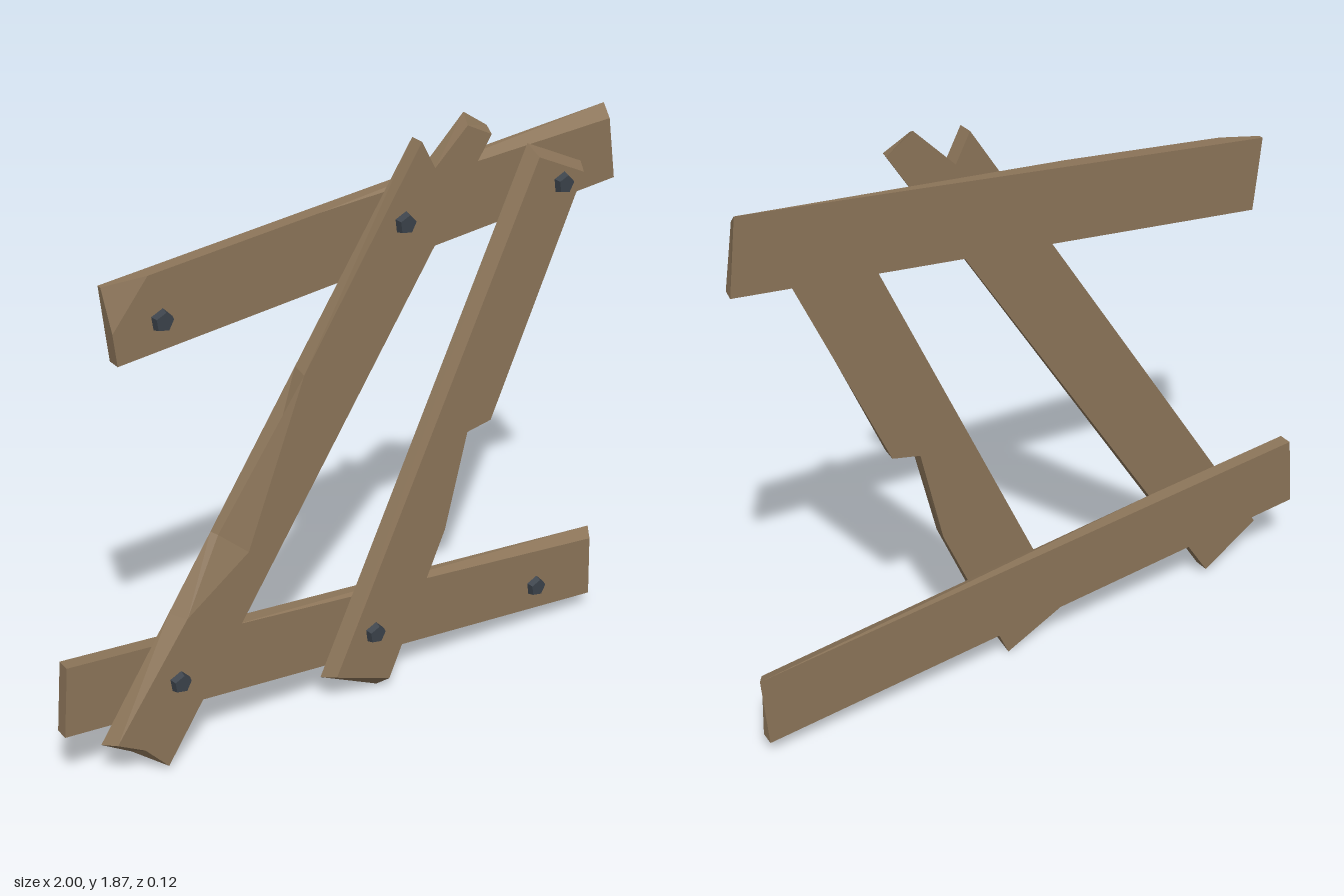
import * as THREE from 'three';

const wood = new THREE.MeshStandardMaterial({ color: 0x8c7559 });
wood.name = 'weathered wood';
const iron = new THREE.MeshStandardMaterial({ color: 0x3b424a });
iron.name = 'dark iron';

// Plank from matching back and front outlines (counterclockwise from the front).
// A front point with a third value is a chipped corner lying at that depth.
function plank(name, back, front, z0, z1) {
  const pos = [];
  const n = front.length;
  const B = back.map(([x, y]) => [x, y, z0]);
  const F = front.map(([x, y, z = z1]) => [x, y, z]);
  const tri = (a, b, c) => pos.push(...a, ...b, ...c);
  const cap = (pts, flip) => {
    const flat = pts.map(([x, y]) => new THREE.Vector2(x, y));
    for (const [a, b, c] of THREE.ShapeUtils.triangulateShape(flat, [])) {
      if (flip) tri(pts[a], pts[c], pts[b]);
      else tri(pts[a], pts[b], pts[c]);
    }
  };
  cap(F.filter((p) => p[2] === z1), false);
  // drop repeated points before closing the back
  cap(B.filter((p, i) => {
    const q = B[(i + 1) % n];
    return p[0] !== q[0] || p[1] !== q[1];
  }), true);
  for (let i = 0; i < n; i++) {
    const j = (i + 1) % n;
    tri(B[i], B[j], F[j]);
    tri(B[i], F[j], F[i]);
    if (F[i][2] !== z1) tri(F[(i + n - 1) % n], F[i], F[j]);
  }
  const geo = new THREE.BufferGeometry();
  geo.setAttribute('position', new THREE.Float32BufferAttribute(pos, 3));
  geo.computeVertexNormals();
  const mesh = new THREE.Mesh(geo, wood);
  mesh.name = name;
  return mesh;
}

export function createModel() {
  const group = new THREE.Group();
  group.name = 'brokenFence';
  const zBack = -0.058, zMid = -0.012, zFront = 0.038;

  // Crossing rails behind
  group.add(plank('topRail',
    [[-0.765, 1.35], [0.995, 1.553], [0.967, 1.786], [-0.1, 1.663], [-0.66, 1.598], [-0.79, 1.583], [-0.776, 1.45]],
    [[-0.765, 1.35], [0.985, 1.553], [0.955, 1.75], [-0.1, 1.663], [-0.66, 1.598], [-0.79, 1.583, -0.042], [-0.776, 1.45]],
    zBack, zMid));
  group.add(plank('bottomRail',
    [[-1, 0.211], [0.977, 0.056], [0.996, 0.291], [-0.45, 0.403], [-0.98, 0.444]],
    [[-1, 0.211], [0.975, 0.058], [0.968, 0.272], [-0.45, 0.403], [-0.98, 0.444]],
    zBack, zMid));

  // Leaning boards in front: one split at the tip, one with a broken edge
  group.add(plank('longBoard',
    [[-0.885, 0.142], [-0.786, 0.081], [-0.687, 0.019], [0.484, 1.816], [0.398, 1.872], [0.265, 1.74],
      [0.217, 1.829], [-0.19, 1.206], [-0.49, 0.747], [-0.49, 0.747], [-0.64, 0.517]],
    [[-0.855, 0.155], [-0.765, 0.105], [-0.687, 0.019], [0.466, 1.805], [0.378, 1.848], [0.265, 1.74],
      [0.217, 1.829], [-0.19, 1.195], [-0.39, 0.67], [-0.475, 0.74, 0.007], [-0.605, 0.51]],
    zMid, zFront));
  // facet that closes the chip against the board's long edge
  const chip = new THREE.BufferGeometry();
  chip.setAttribute('position', new THREE.Float32BufferAttribute(
    [-0.19, 1.195, zFront, -0.475, 0.74, 0.007, -0.39, 0.67, zFront], 3));
  chip.computeVertexNormals();
  const chipMesh = new THREE.Mesh(chip, wood);
  chipMesh.name = 'longBoardChip';
  group.add(chipMesh);

  group.add(plank('shortBoard',
    [[-0.11, 0.104], [0.104, 0.003], [0.334, 0.527], [0.406, 0.842], [0.5, 0.864], [0.848, 1.634], [0.639, 1.73]],
    [[-0.08, 0.118], [0.12, 0.045], [0.328, 0.527], [0.406, 0.848], [0.495, 0.866], [0.822, 1.618], [0.648, 1.698]],
    zMid, zFront));

  // Five-sided nail heads: [x, y, surface depth]
  const head = new THREE.CylinderGeometry(0.029, 0.037, 0.026, 5)
    .rotateX(Math.PI / 2).rotateZ(0.45).toNonIndexed();
  head.computeVertexNormals();
  const nails = [
    [-0.623, 1.457, zMid], [0.158, 1.594, zFront], [0.74, 1.6, zFront],
    [-0.639, 0.305, zFront], [0.061, 0.238, zFront], [0.74, 0.163, zMid],
  ];
  for (const [x, y, z] of nails) {
    const nail = new THREE.Mesh(head, iron);
    nail.name = 'nailHead';
    nail.position.set(x, y, z + 0.008);
    group.add(nail);
  }
  return group;
}
